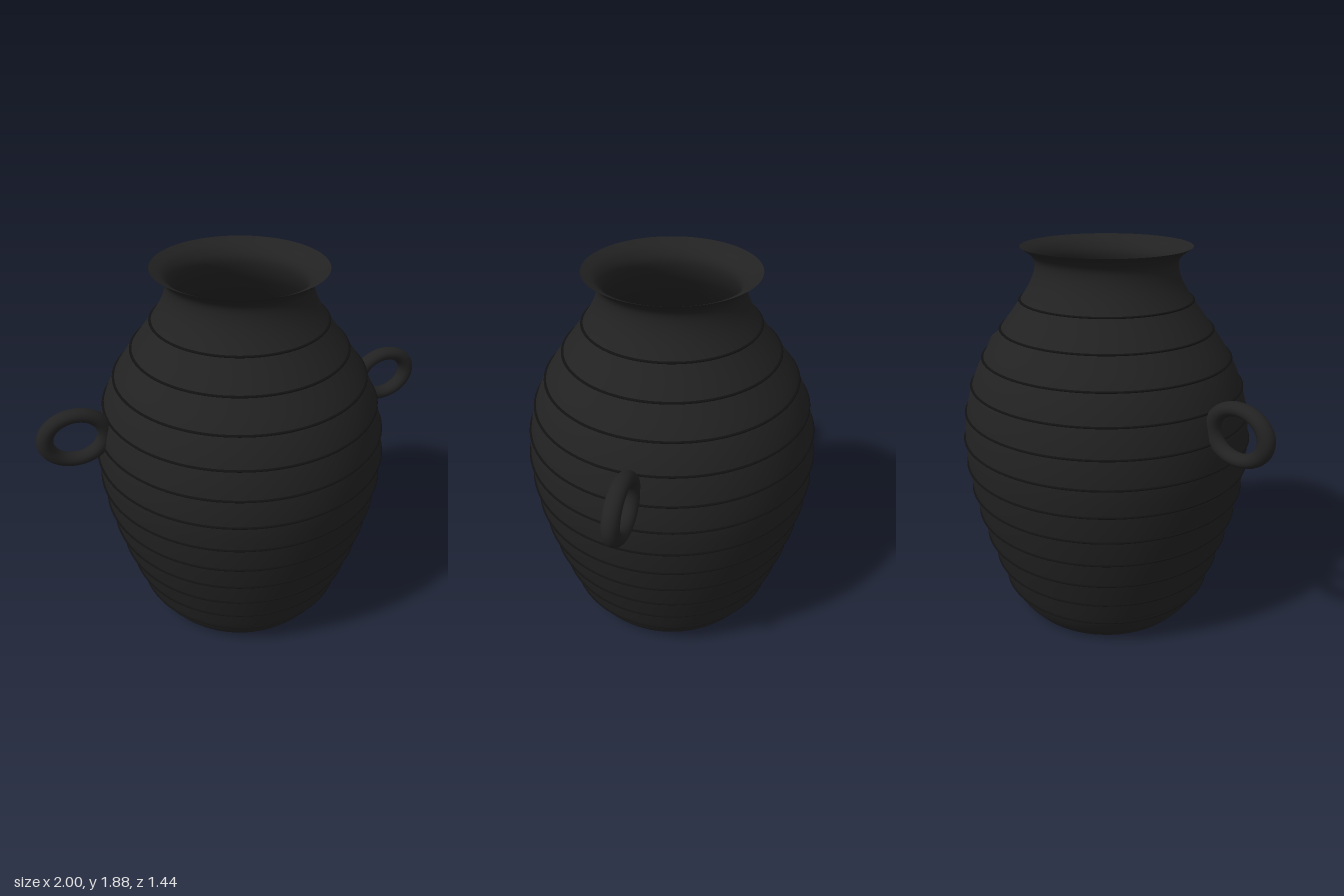
import * as THREE from 'three';

export function createModel() {
  const model = new THREE.Group();
  const clay = new THREE.MeshStandardMaterial({ color: 0x222222 });
  const ringDark = new THREE.MeshStandardMaterial({ color: 0x111111 });
  clay.name = 'charcoal clay';
  ringDark.name = 'dark ring';

  const add = (name, geometry, material) => {
    const mesh = new THREE.Mesh(geometry, material);
    mesh.name = name;
    model.add(mesh);
    return mesh;
  };
  const curve = (pts) => new THREE.SplineCurve(pts.map(([r, y]) => new THREE.Vector2(r, y)));

  // Outer wall, from the foot up to the flared lip
  const outer = curve([
    [0.44, 0], [0.49, 0.06], [0.535, 0.145], [0.583, 0.285], [0.625, 0.42], [0.66, 0.555],
    [0.688, 0.69], [0.706, 0.825], [0.712, 0.95], [0.698, 1.09], [0.662, 1.23], [0.603, 1.36],
    [0.511, 1.495], [0.412, 1.63], [0.358, 1.72], [0.338, 1.79], [0.352, 1.835], [0.405, 1.877],
  ]).getPoints(90);
  add('outerWall', new THREE.LatheGeometry(outer, 96), clay);

  // Inner wall, from the lip down to the floor
  const inner = curve([
    [0.405, 1.877], [0.345, 1.845], [0.312, 1.79], [0.33, 1.71], [0.385, 1.62], [0.48, 1.49],
    [0.57, 1.36], [0.63, 1.23], [0.665, 1.09], [0.68, 0.95], [0.655, 0.69], [0.592, 0.42],
    [0.5, 0.145], [0.42, 0.03],
  ]).getPoints(70);
  add('innerWall', new THREE.LatheGeometry(inner, 96), clay);

  // Floor inside and base underneath
  const floor = add('innerFloor', new THREE.CircleGeometry(0.42, 96), clay);
  floor.rotation.x = -Math.PI / 2;
  floor.position.y = 0.03;
  const base = add('base', new THREE.CircleGeometry(0.44, 96), clay);
  base.rotation.x = Math.PI / 2;

  // Radius of the outer wall at a given height
  const radiusAt = (y) => {
    const i = outer.findIndex((p) => p.y >= y);
    const a = outer[i - 1], b = outer[i];
    return a.x + (b.x - a.x) * (y - a.y) / (b.y - a.y);
  };

  // Thin raised rings around the body
  for (let i = 0; i < 12; i++) {
    const y = 0.147 + i * 0.1348;
    const ring = add('bodyRing', new THREE.TorusGeometry(radiusAt(y), 0.009, 8, 96), ringDark);
    ring.rotation.x = Math.PI / 2;
    ring.scale.z = 0.5;
    ring.position.y = y;
  }

  // Oval loop handles
  for (const side of [1, -1]) {
    const handle = add(side > 0 ? 'leftHandle' : 'rightHandle', new THREE.TorusGeometry(0.141, 0.039, 20, 64), clay);
    handle.scale.y = 0.815;
    handle.position.set(side * 0.82, 1.165, 0);
  }
  return model;
}
